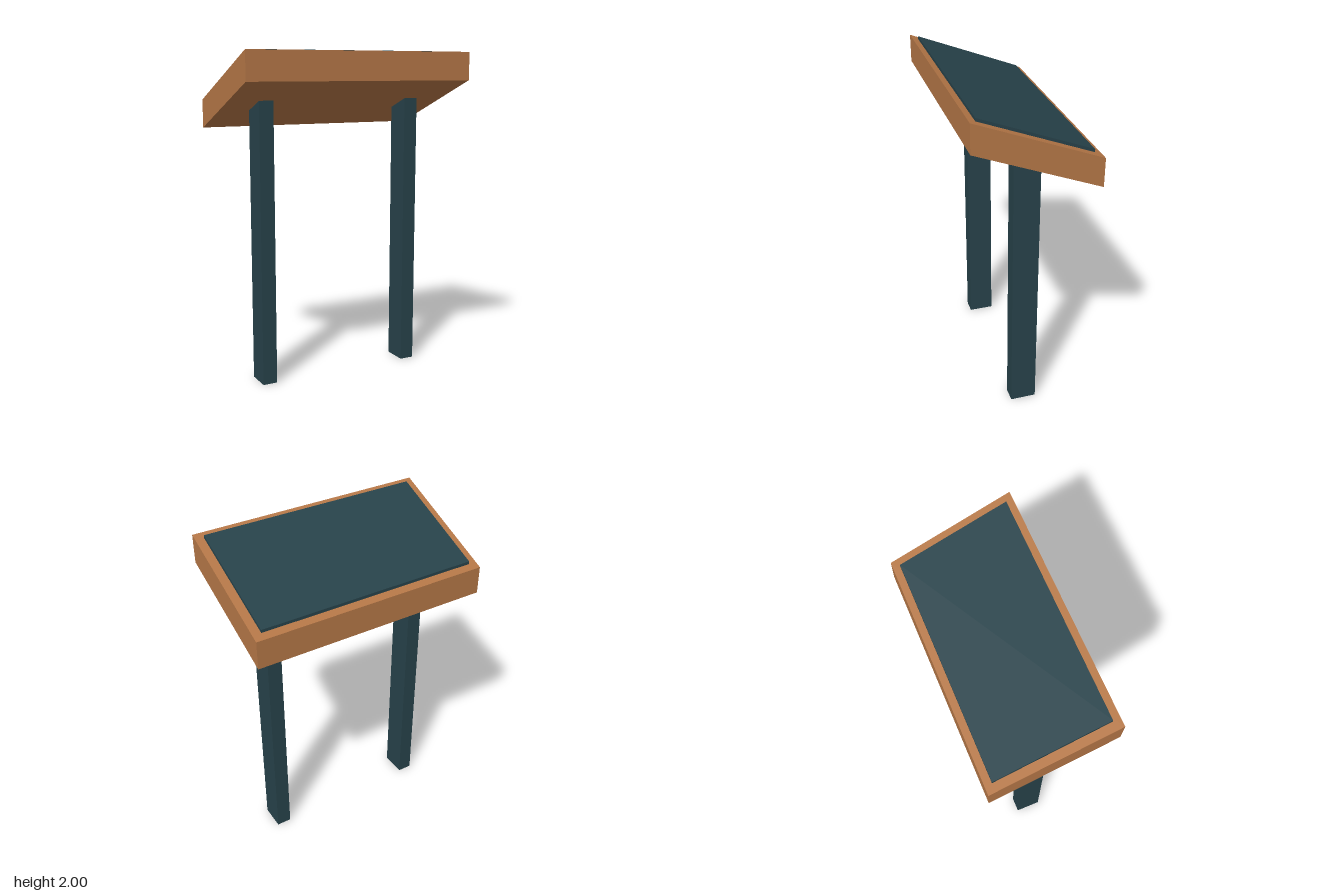
import * as THREE from 'three';

const SLOPE = 0.393; // rise of the tilted top per unit of z

// Box whose vertices are lifted along z, keeping its sides vertical
function shearedBox(w, h, d, y, flatBase = false) {
  const geo = new THREE.BoxGeometry(w, h, d);
  const p = geo.attributes.position;
  for (let i = 0; i < p.count; i++) {
    const base = flatBase && p.getY(i) < 0;
    p.setY(i, p.getY(i) + y + (base ? 0 : SLOPE * p.getZ(i)));
  }
  const flat = geo.toNonIndexed();
  flat.computeVertexNormals();
  return flat;
}

export function createModel() {
  const group = new THREE.Group();
  const wood = new THREE.MeshStandardMaterial({ color: 0xb57747 });
  wood.name = 'warm wood';
  const slate = new THREE.MeshStandardMaterial({ color: 0x27424a });
  slate.name = 'dark teal';

  const add = (name, geo, mat, x = 0) => {
    const mesh = new THREE.Mesh(geo, mat);
    mesh.name = name;
    mesh.position.x = x;
    group.add(mesh);
  };

  // Tilted wooden board with the display panel on top
  add('board', shearedBox(1.454, 0.17, 0.726, 1.772), wood);
  add('displayPanel', shearedBox(1.352, 0.018, 0.644, 1.866), slate);

  // Two posts, cut at the top to meet the slope of the board
  for (const [name, x] of [['leftPost', 0.492], ['rightPost', -0.492]]) {
    add(name, shearedBox(0.09, 1.687, 0.156, 0.8435, true), slate, x);
  }
  return group;
}
